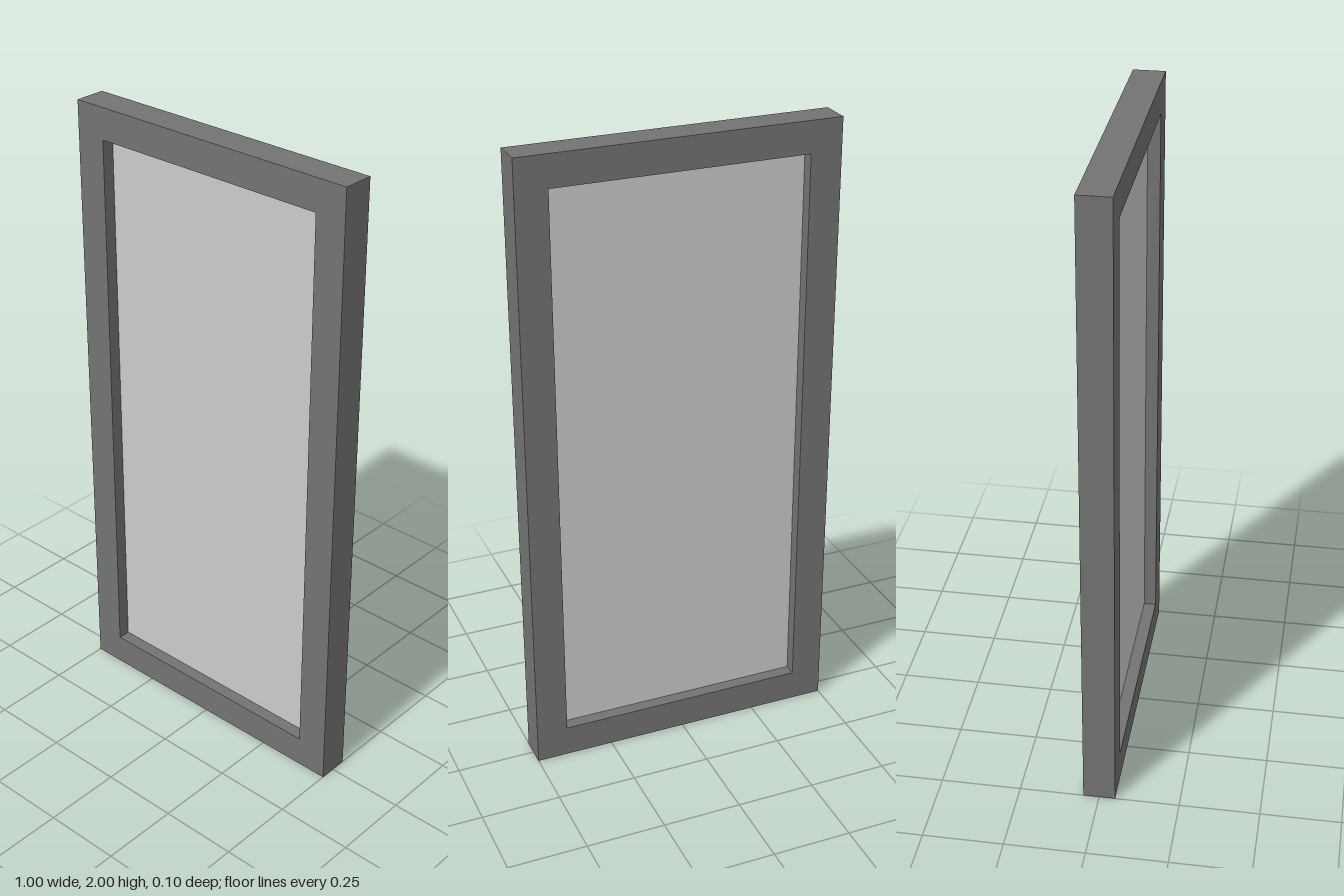
import * as THREE from 'three';

const WIDTH = 1, HEIGHT = 2, DEPTH = 0.1, BORDER = 0.1, PANEL_DEPTH = 0.02;

// Adds a rectangle, centred on x = 0 and inset from the outer edge, to a path
function rectangle(path, inset) {
  const x = WIDTH / 2 - inset, top = HEIGHT - inset;
  path.moveTo(-x, inset).lineTo(x, inset).lineTo(x, top).lineTo(-x, top).closePath();
  return path;
}

export function createModel() {
  const model = new THREE.Group();
  model.name = 'framedPanel';

  // Square-edged frame with one rectangular opening
  const outline = rectangle(new THREE.Shape(), 0);
  outline.holes.push(rectangle(new THREE.Path(), BORDER));
  const frameGeometry = new THREE.ExtrudeGeometry(outline, { depth: DEPTH, bevelEnabled: false });
  frameGeometry.translate(0, 0, -DEPTH / 2);
  const frame = new THREE.Mesh(frameGeometry, new THREE.MeshStandardMaterial({ color: 0x737373 }));
  frame.name = 'frame';
  model.add(frame);

  // Thin pane, recessed equally from front and back
  const panel = new THREE.Mesh(
    new THREE.BoxGeometry(WIDTH - 2 * BORDER, HEIGHT - 2 * BORDER, PANEL_DEPTH),
    new THREE.MeshStandardMaterial({ color: 0xcccccc })
  );
  panel.name = 'panel';
  panel.position.y = HEIGHT / 2;
  model.add(panel);

  return model;
}
